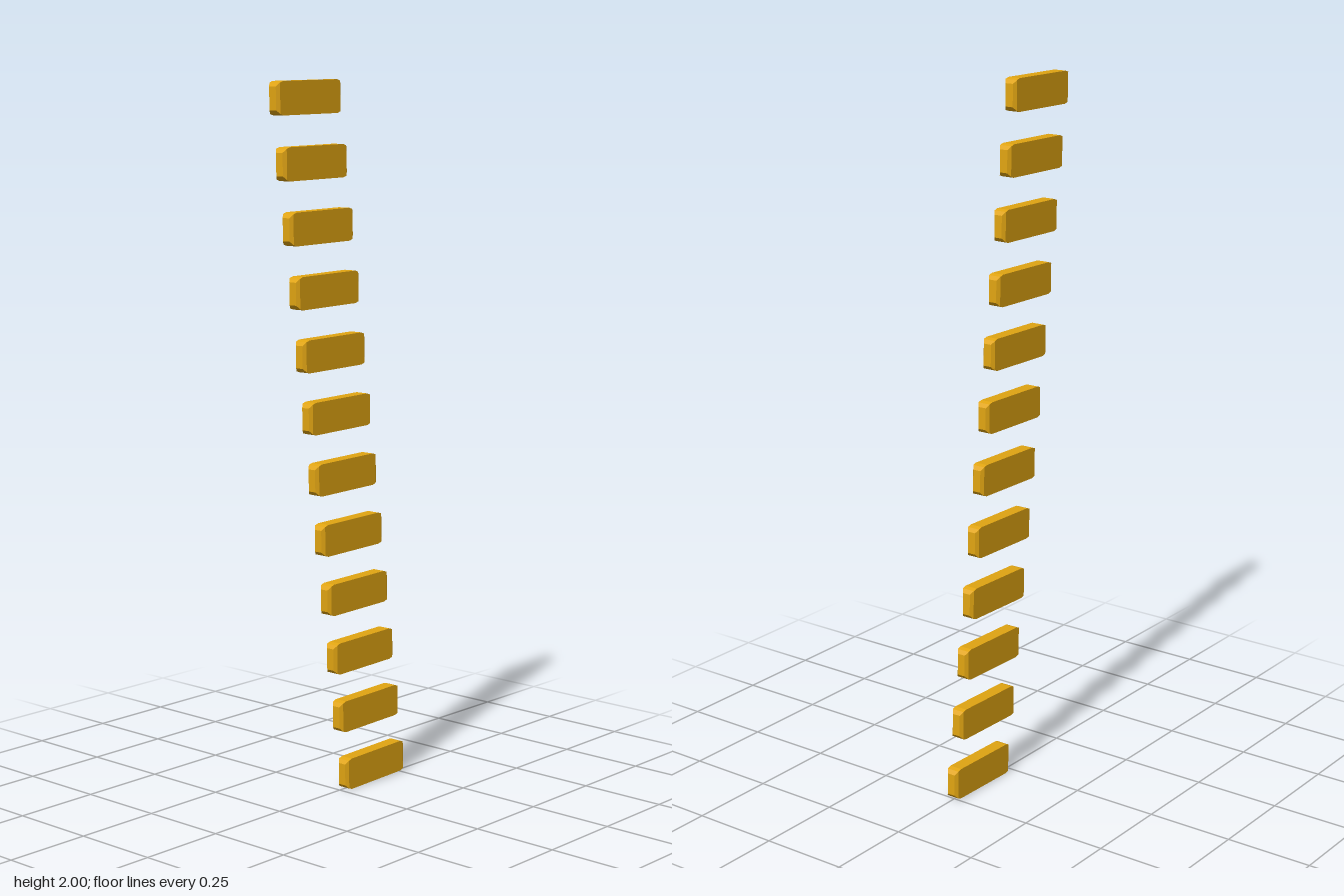
import * as THREE from 'three';

const BAR_COUNT = 12;

// Cross-sections along one bar: [x, half height, half depth]
const END = [[0.127, 0.031, 0.012], [0.118, 0.041, 0.019], [0.106, 0.045, 0.019]];
const STATIONS = [...END.map(([x, h, d]) => [-x, h, d]), ...[...END].reverse()];

// A box cut into slices, each slice moved and scaled to its cross-section
function barGeometry() {
  const slices = STATIONS.length - 1;
  const geo = new THREE.BoxGeometry(slices, 2, 2, slices, 1, 1);
  const pos = geo.attributes.position;
  for (let i = 0; i < pos.count; i++) {
    const [x, h, d] = STATIONS[Math.round(pos.getX(i) + slices / 2)];
    pos.setXYZ(i, x, pos.getY(i) * h, pos.getZ(i) * d);
  }
  geo.computeVertexNormals();
  return geo;
}

export function createModel() {
  const group = new THREE.Group();
  group.name = 'leaningBarStack';
  const material = new THREE.MeshStandardMaterial({ color: 0xe0a412, flatShading: true });
  const geometry = barGeometry();

  // Evenly spaced bars, each stepping sideways and tilted slightly
  for (let i = 0; i < BAR_COUNT; i++) {
    const t = i / (BAR_COUNT - 1);
    const bar = new THREE.Mesh(geometry, material);
    bar.name = `bar${i + 1}`;
    bar.position.set(THREE.MathUtils.lerp(0.137, -0.137, t), THREE.MathUtils.lerp(0.047, 1.953, t), 0);
    bar.rotation.z = 0.02;
    group.add(bar);
  }
  return group;
}
